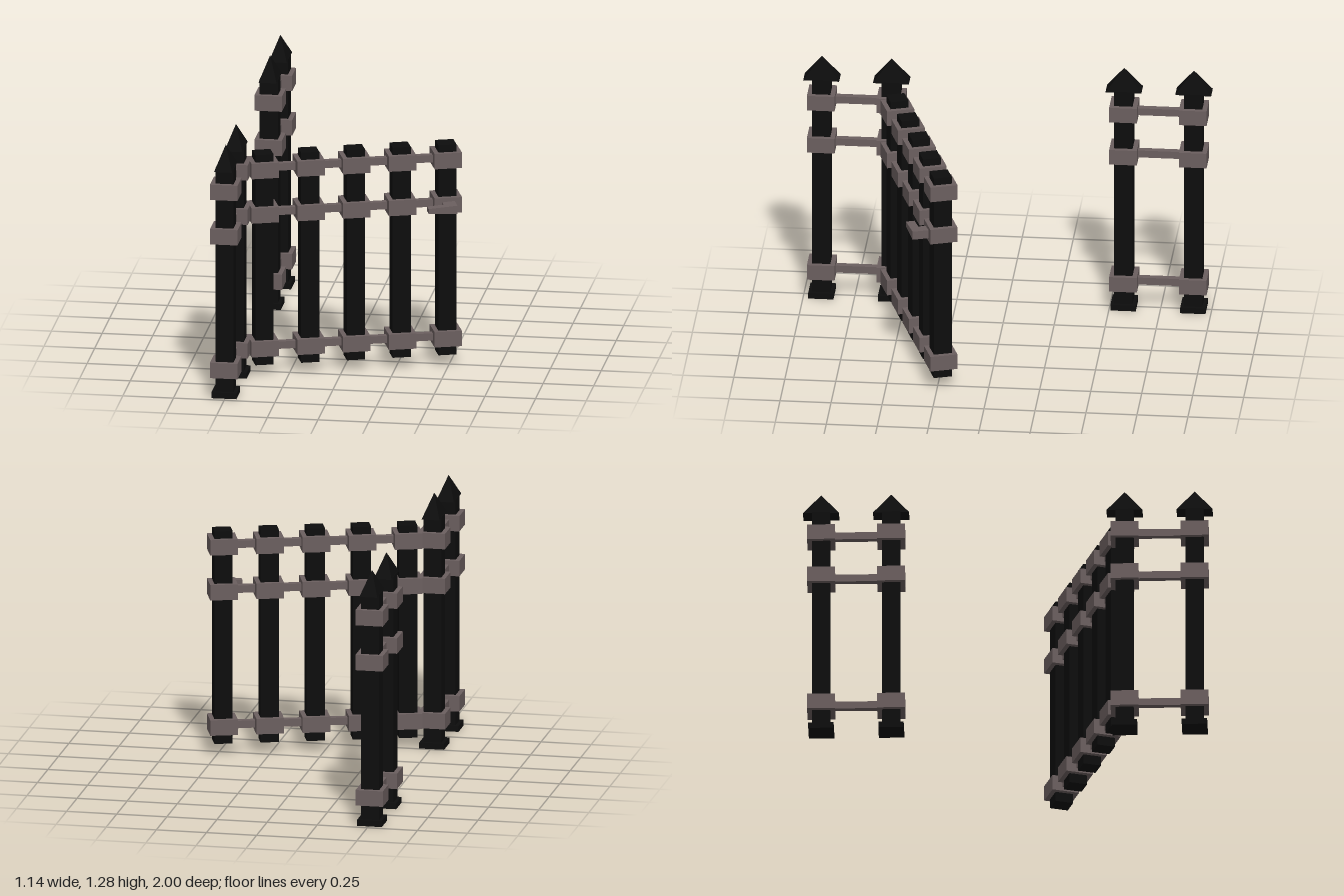
import * as THREE from 'three';

const black = new THREE.MeshStandardMaterial({ color: 0x0d0d0d, flatShading: true });
const metal = new THREE.MeshStandardMaterial({ color: 0x6b5f5f, flatShading: true });

const BAND_HEIGHTS = [0.143, 0.827, 1.054];

function add(parent, name, geometry, material, x = 0, y = 0, z = 0) {
  const mesh = new THREE.Mesh(geometry, material);
  mesh.name = name;
  mesh.position.set(x, y, z);
  parent.add(mesh);
  return mesh;
}

const box = (w, h, d) => new THREE.BoxGeometry(w, h, d);

// Square collars at the three rail heights
function addBands(parent) {
  for (const y of BAND_HEIGHTS) add(parent, 'band', box(0.136, 0.078, 0.136), metal, 0, y, 0);
}

// Post with foot, bands and a four-sided spearhead wider in z than in x
function makePost(z) {
  const post = new THREE.Group();
  post.name = 'post';
  add(post, 'shaft', box(0.09, 1.17, 0.09), black, 0, 0.585, 0);
  add(post, 'foot', box(0.124, 0.03, 0.124), black, 0, 0.015, 0);
  const spear = new THREE.ConeGeometry(Math.SQRT1_2, 0.115, 4);
  spear.rotateY(Math.PI / 4);
  spear.scale(0.09, 1, 0.176);
  add(post, 'spearhead', spear, black, 0, 1.2225, 0);
  addBands(post);
  post.position.z = z;
  return post;
}

// Two posts joined by three rails
function makePostPair(side) {
  const pair = new THREE.Group();
  pair.name = side > 0 ? 'frontPostPair' : 'backPostPair';
  for (const z of [0.57, 0.912]) pair.add(makePost(side * z));
  for (const y of BAND_HEIGHTS) add(pair, 'rail', box(0.032, 0.037, 0.342), metal, 0, y, side * 0.741);
  pair.position.x = -0.505;
  return pair;
}

// L-shaped latch lever, thinning towards its tip
function makeLatch() {
  const points = [[-0.031, 0.06], [0.031, 0.06], [0.031, 0.148], [-0.112, 0.148], [-0.112, 0.105], [-0.031, 0.105]];
  const shape = new THREE.Shape(points.map(([u, v]) => new THREE.Vector2(u, v)));
  const geometry = new THREE.ExtrudeGeometry(shape, { depth: 1, bevelEnabled: false });
  geometry.translate(0, 0, -0.5);
  geometry.rotateX(Math.PI / 2);
  const pos = geometry.attributes.position;
  for (let i = 0; i < pos.count; i++) {
    const t = (pos.getX(i) + 0.112) / 0.143;
    pos.setY(i, pos.getY(i) * THREE.MathUtils.lerp(0.024, 0.043, t));
  }
  geometry.computeVertexNormals();
  return geometry;
}

// Swung gate leaf: five pickets, through rails and a latch
function makeGate() {
  const gate = new THREE.Group();
  gate.name = 'gate';
  const spacing = 0.227;
  for (let i = 0; i < 5; i++) {
    const picket = new THREE.Group();
    picket.name = 'picket';
    add(picket, 'shaft', box(0.09, 1.074, 0.09), black, 0, 0.593, 0);
    addBands(picket);
    picket.position.x = i * spacing;
    gate.add(picket);
  }
  for (const y of BAND_HEIGHTS) add(gate, 'gateRail', box(4 * spacing, 0.037, 0.032), metal, 2 * spacing, y, 0);
  add(gate, 'latch', makeLatch(), metal, 4 * spacing, 0.827, 0);
  gate.position.set(-0.378, 0, 0.53);
  gate.rotation.y = THREE.MathUtils.degToRad(18.8);
  return gate;
}

export function createModel() {
  const model = new THREE.Group();
  model.name = 'openGate';
  model.add(makePostPair(1), makePostPair(-1), makeGate());
  return model;
}
